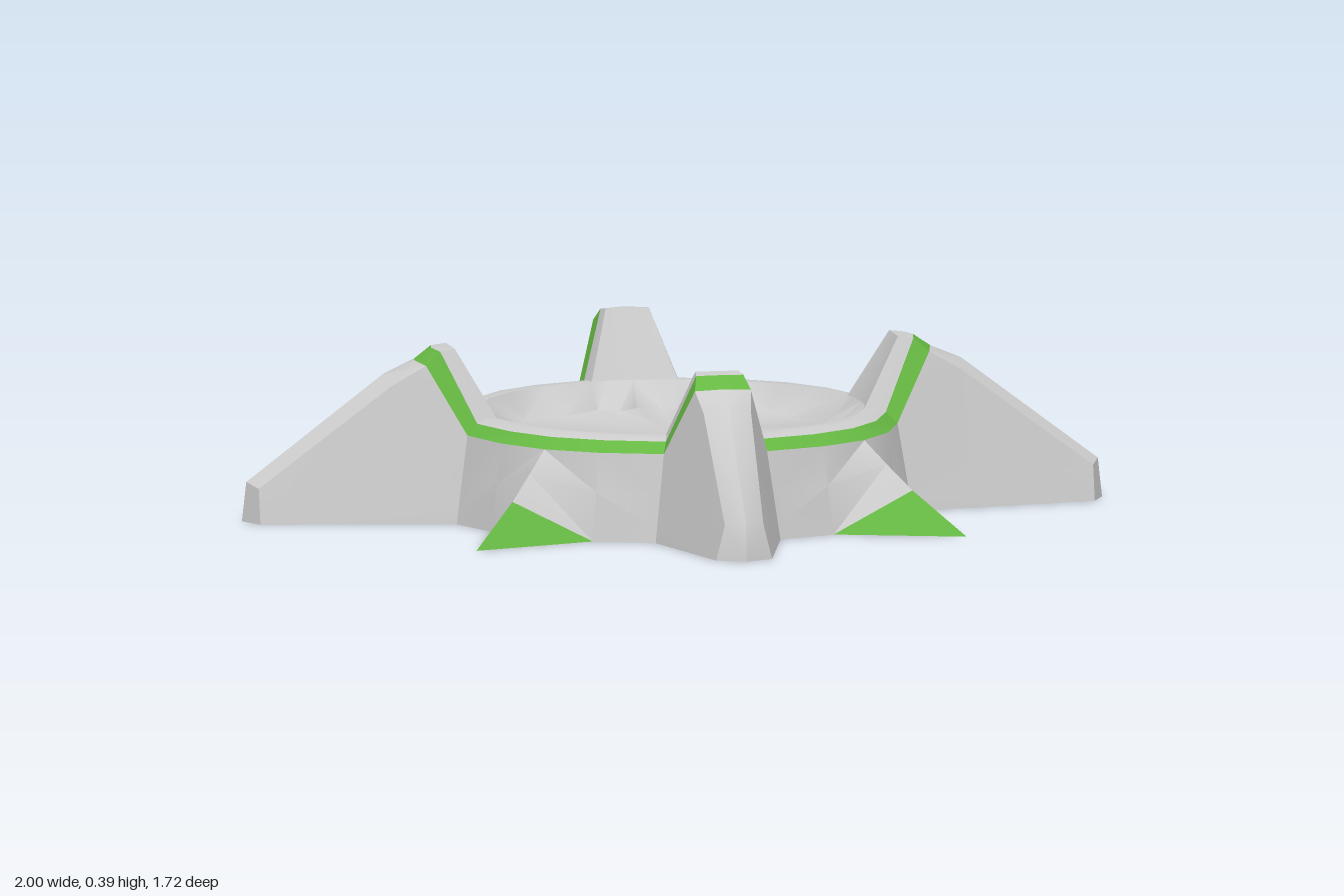
import * as THREE from 'three';
import { toCreasedNormals } from 'three/addons/utils/BufferGeometryUtils.js';

// Cross-sections of half a leg sector: [along the leg, sideways, height],
// ordered rim, crest, trim top, trim bottom, shoulder, toe, base.
function sections(L) {
  const mix = (a, b, t) => a.map((v, i) => v + (b[i] - v) * t);
  const sh = 0.6 + (L - 0.6) * 0.18;
  const wall = (rim, crest, top, bottom, base, t) =>
    [rim, crest, top, bottom, mix(bottom, base, 0.45), mix(bottom, base, t), base];
  return [
    // leg centre line
    [[0.44, 0, 0.235], [0.515, 0, 0.39], [0.56, 0, 0.387], [0.6, 0, 0.36],
      [sh, 0, 0.33], [L - 0.01, 0, 0.09], [L, 0, 0]],
    // leg upper edge
    [[0.436, 0.06, 0.235], [0.515, 0.05, 0.39], [0.55, 0.055, 0.385], [0.585, 0.065, 0.355],
      [sh - 0.01, 0.055, 0.31], [L - 0.03, 0.045, 0.08], [L - 0.03, 0.065, 0]],
    // leg root
    wall([0.428, 0.1, 0.235], [0.455, 0.105, 0.235], [0.475, 0.11, 0.225],
      [0.5, 0.12, 0.2], [0.53, 0.145, 0], 0.85),
    // wall beside the spike
    wall([0.38, 0.22, 0.235], [0.405, 0.235, 0.235], [0.425, 0.245, 0.225],
      [0.45, 0.26, 0.2], [0.475, 0.28, 0], 1),
    // spike ridge on the diagonal
    [[0.311, 0.311, 0.235], [0.333, 0.333, 0.235], [0.35, 0.35, 0.225], [0.372, 0.372, 0.2],
      [0.415, 0.415, 0.15], [0.465, 0.465, 0.095], [0.57, 0.57, 0]],
  ];
}

// Closed loop of columns around the whole body
function buildColumns() {
  const columns = [];
  for (let k = 0; k < 4; k++) {
    const a = (k * Math.PI) / 2, c = Math.cos(a), s = Math.sin(a);
    const half = sections(k % 2 ? 0.86 : 1);
    for (let i = -4; i < 4; i++) {
      const pts = half[Math.abs(i)].map(([u, v, y]) => {
        const w = v * Math.sign(i);
        return new THREE.Vector3(u * c - w * s, y, u * s + w * c);
      });
      columns.push({ pts, i });
    }
  }
  return columns;
}

// Surface between successive rows of each column, for the cells that pass the test
function skin(name, columns, rowsOf, test, color, crease) {
  const pos = [];
  const tri = (a, b, c) => {
    const area = b.clone().sub(a).cross(c.clone().sub(a)).length();
    if (area > 1e-7) for (const p of [a, b, c]) pos.push(p.x, p.y, p.z);
  };
  columns.forEach((col, n) => {
    const next = columns[(n + 1) % columns.length];
    const p = rowsOf(col), q = rowsOf(next);
    for (let r = 0; r < p.length - 1; r++) {
      if (!test(r, col.i)) continue;
      if (col.i < 0) { // mirrored diagonals on the two halves of a sector
        tri(p[r], q[r], q[r + 1]);
        tri(p[r], q[r + 1], p[r + 1]);
      } else {
        tri(p[r], q[r], p[r + 1]);
        tri(q[r], q[r + 1], p[r + 1]);
      }
    }
  });
  const geo = new THREE.BufferGeometry();
  geo.setAttribute('position', new THREE.Float32BufferAttribute(pos, 3));
  const mesh = new THREE.Mesh(toCreasedNormals(geo, crease),
    new THREE.MeshStandardMaterial({ color }));
  mesh.name = name;
  return mesh;
}

export function createModel() {
  const group = new THREE.Group();
  group.name = 'starBase';
  const columns = buildColumns();
  const grey = 0xcccccc, green = 0x66b843;
  const all = (col) => col.pts;
  const isTrim = (r) => r === 2;
  const isSpike = (r, i) => r === 5 && (i === -4 || i === 3);

  // Walls, crown and four legs
  group.add(skin('body', columns, all, (r, i) => !isTrim(r) && !isSpike(r, i), grey, 0.65));
  // Coloured band below the crown, and the diagonal spikes
  group.add(skin('trimBand', columns, all, isTrim, green, 0.65));
  group.add(skin('spikes', columns, all, isSpike, green, 0.3));

  // Shallow dish with a scalloped edge
  const dishRows = (col) => {
    const rim = col.pts[0];
    const k = col.i % 2 ? 0.82 : 0.92;
    return [new THREE.Vector3(0, 0.175, 0), new THREE.Vector3(rim.x * k, 0.175, rim.z * k), rim];
  };
  group.add(skin('dish', columns, dishRows, () => true, grey, 1));

  // Flat underside
  const underRows = (col) => [col.pts[6], new THREE.Vector3()];
  group.add(skin('underside', columns, underRows, () => true, grey, 0.3));
  return group;
}
